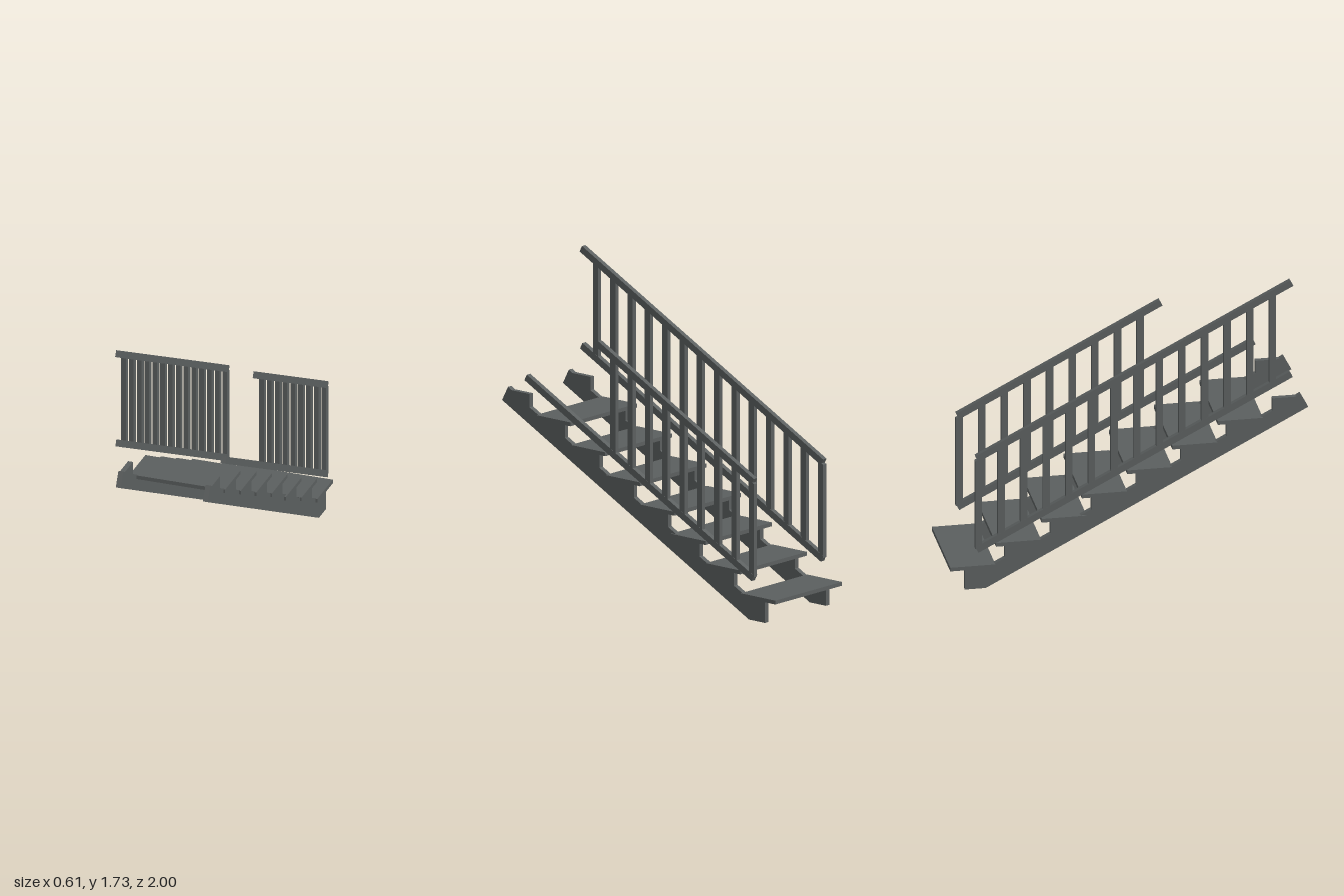
import * as THREE from 'three';

const steel = new THREE.MeshStandardMaterial({ color: 0x5b5f5f });
steel.name = 'darkGrey';

const SLOPE = 0.521;
const topRailY = z => 1.73 + SLOPE * (z - 0.895);   // upper edge of handrail
const lowRailY = z => 1.18 + SLOPE * (z - 0.89);    // upper edge of lower rail

// Flat profile of [z, y] points, given a thickness across x
function plate(name, points, x, width) {
  const shape = new THREE.Shape(points.map(([z, y]) => new THREE.Vector2(z, y)));
  const geo = new THREE.ExtrudeGeometry(shape, { depth: width, bevelEnabled: false });
  geo.rotateY(-Math.PI / 2);
  geo.translate(x + width / 2, 0, 0);
  const mesh = new THREE.Mesh(geo, steel);
  mesh.name = name;
  return mesh;
}

// Sloping bar with square-cut ends
function slopedRail(name, edge, z0, z1, x) {
  const len = Math.hypot(1, SLOPE), t = 0.038;
  const dz = t * SLOPE / len, dy = -t / len;
  return plate(name, [
    [z0, edge(z0)], [z0 + dz, edge(z0) + dy],
    [z1 + dz, edge(z1) + dy], [z1, edge(z1)],
  ], x, 0.029);
}

// Handrail, lower rail and balusters on one side
function railing(name, x, topEnd, lowEnd, count) {
  const g = new THREE.Group();
  g.name = name;
  g.add(slopedRail('handrail', topRailY, -0.865, topEnd, x));
  g.add(slopedRail('lowerRail', lowRailY, -0.865, lowEnd, x));
  for (let i = 0; i < count; i++) {
    const z = -0.846 + i * 0.1263, a = z - 0.019, b = z + 0.019;
    g.add(plate('baluster', [
      [a, lowRailY(a) - 0.01], [b, lowRailY(b) - 0.01],
      [b, topRailY(b) - 0.03], [a, topRailY(a) - 0.03],
    ], x, 0.027));
  }
  return g;
}

// Step levels from bottom to top: riser z and supporting height
const risers = [-0.917, -0.692, -0.438, -0.211, 0.04, 0.291, 0.543, 0.8];
const levels = [0.12, 0.248, 0.372, 0.5, 0.625, 0.753, 0.88, 1.01];
const treadBack = [-1, -0.745, -0.49, -0.265, -0.012, 0.24, 0.494];

// Notched side beam
function stringer(x) {
  const pts = [[1, 0.943], [-0.8, 0], [risers[0], 0], [risers[0], levels[0]]];
  for (let i = 1; i < risers.length; i++) {
    const foot = levels[i] - 0.075;
    const run = (foot - levels[i - 1]) / SLOPE;
    pts.push([risers[i] - run, levels[i - 1]], [risers[i], foot], [risers[i], levels[i]]);
  }
  pts.push([0.932, 1.01], [0.957, 1.025]);
  return plate('stringer', pts, x, 0.029);
}

export function createModel() {
  const model = new THREE.Group();
  model.name = 'staircase';

  for (const s of [-1, 1]) model.add(stringer(s * 0.254));

  // Treads
  treadBack.forEach((z, i) => {
    const tread = new THREE.Mesh(new THREE.BoxGeometry(0.556, 0.022, 0.252), steel);
    tread.position.set(0, levels[i] + 0.011, z + 0.126);
    tread.name = 'tread';
    model.add(tread);
  });

  // The left handrail stops early, the right one runs the full flight
  model.add(railing('leftRailing', 0.288, 0.27, 0.79, 9));
  model.add(railing('rightRailing', -0.29, 0.893, 0.89, 14));
  return model;
}
